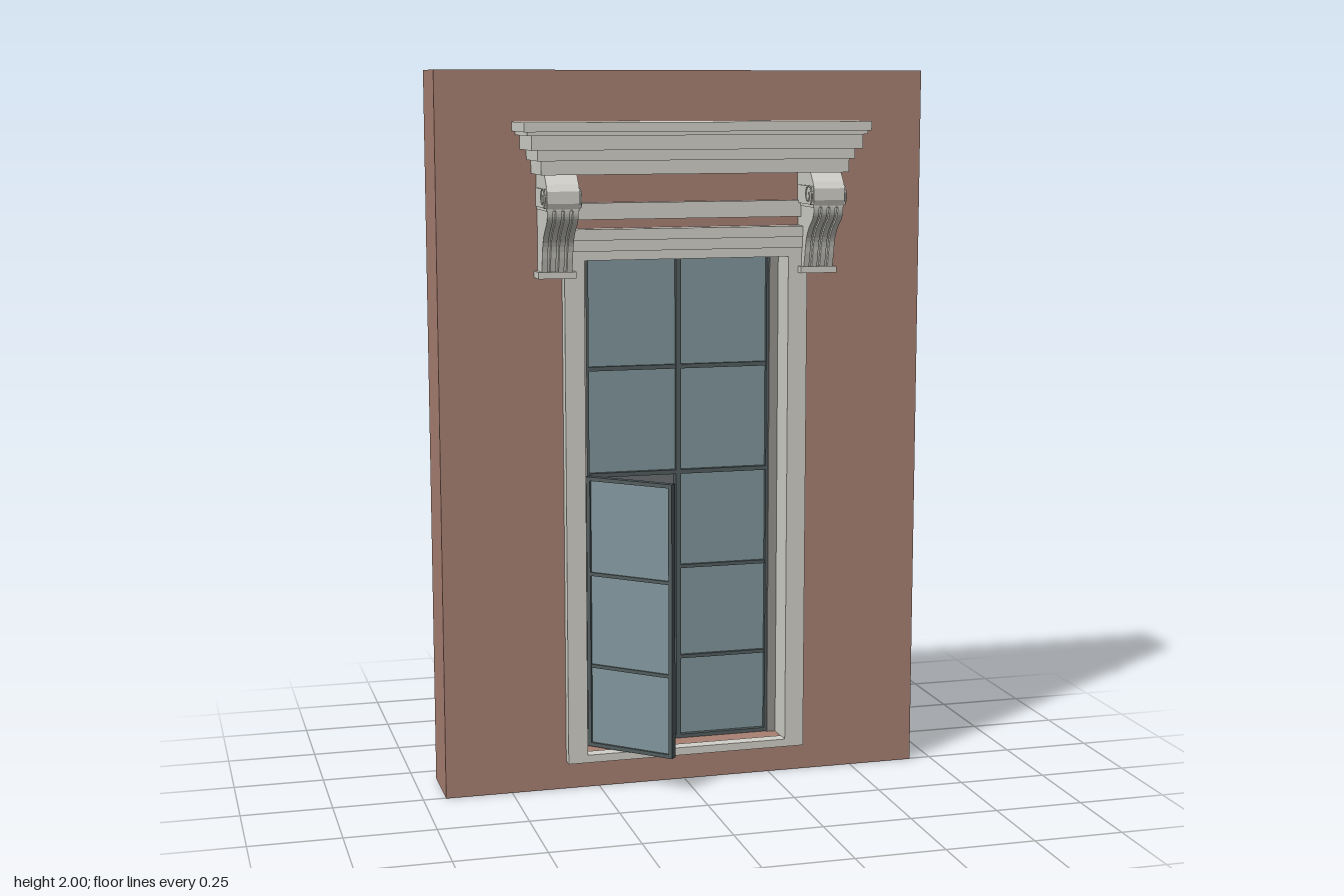
import * as THREE from 'three';

const mat = (name, color) => {
  const m = new THREE.MeshStandardMaterial({ color });
  m.name = name;
  return m;
};

export function createModel() {
  const brick = mat('terracotta wall', 0xa88072);
  const stone = mat('pale stone', 0xd2d1ca);
  const casingGrey = mat('casing grey', 0x96948f);
  const frameDark = mat('dark frame', 0x525c5e);
  const glass = mat('blue grey glass', 0x80969c);
  const backing = mat('interior grey', 0x6a7070);

  const model = new THREE.Group();
  model.name = 'windowWall';

  const add = (parent, name, geometry, material) => {
    const mesh = new THREE.Mesh(geometry, material);
    mesh.name = name;
    parent.add(mesh);
    return mesh;
  };
  // Box given by its extents
  const box = (parent, name, material, x0, x1, y0, y1, z0, z1) => {
    const m = add(parent, name, new THREE.BoxGeometry(x1 - x0, y1 - y0, z1 - z0), material);
    m.position.set((x0 + x1) / 2, (y0 + y1) / 2, (z0 + z1) / 2);
    return m;
  };
  const rect = (C, x0, x1, y0, y1) => {
    const s = new C();
    s.moveTo(x0, y0).lineTo(x1, y0).lineTo(x1, y1).lineTo(x0, y1).closePath();
    return s;
  };
  // Rectangular ring: outer [x0,x1,y0,y1], inner the same, between z0 and z1
  const ring = (parent, name, material, outer, inner, z0, z1) => {
    const s = rect(THREE.Shape, ...outer);
    s.holes.push(rect(THREE.Path, ...inner));
    const g = new THREE.ExtrudeGeometry(s, { depth: z1 - z0, bevelEnabled: false });
    return add(parent, name, g.translate(0, 0, z0), material);
  };

  // Wall with its opening
  ring(model, 'wall', brick, [-0.687, 0.687, 0, 2], [-0.3, 0.3, 0.1, 1.5], -0.177, 0.004);

  // Stone surround, side reveals and casing
  ring(model, 'surround', stone, [-0.345, 0.345, 0.08, 1.5], [-0.29, 0.29, 0.102, 1.49], 0, 0.037);
  for (const s of [-1, 1]) {
    const r = box(model, 'reveal', stone, -0.005, 0.005, 0.1, 1.5, -0.055, 0);
    r.position.x = s * 0.295;
    const c = box(model, 'casing', casingGrey, -0.0165, 0.0165, 0.1, 1.5, -0.062, -0.055);
    c.position.x = s * 0.2815;
  }

  // Lintel bands
  box(model, 'lintelLower', stone, -0.335, 0.335, 1.5, 1.515, 0, 0.04);
  box(model, 'lintelMiddle', stone, -0.335, 0.335, 1.515, 1.545, 0, 0.045);
  box(model, 'lintelUpper', stone, -0.335, 0.335, 1.545, 1.575, 0, 0.05);
  box(model, 'friezeMoulding', stone, -0.335, 0.335, 1.6, 1.645, 0, 0.03);

  // Stepped cornice: bottom, top, half width, depth
  for (const [y0, y1, w, d] of [
    [1.725, 1.762, 0.428, 0.142], [1.762, 1.79, 0.44, 0.155],
    [1.79, 1.828, 0.458, 0.167], [1.828, 1.838, 0.47, 0.172], [1.838, 1.863, 0.479, 0.177],
  ]) box(model, 'corniceStep', stone, -w, w, y0, y1, 0, d);

  // Scrolled brackets, profile drawn in depth and height
  const profile = (inset) => {
    const s = new THREE.Shape();
    s.moveTo(0, 1.46).lineTo(0.058 - inset, 1.46).lineTo(0.068 - inset, 1.5);
    s.bezierCurveTo(0.076 - inset, 1.55, 0.09 - inset, 1.565, 0.115 - inset, 1.585);
    s.bezierCurveTo(0.138 - inset, 1.6, 0.143 - inset, 1.615, 0.143 - inset, 1.64);
    s.lineTo(0, 1.64).closePath();
    return s;
  };
  const across = (shape, width) => new THREE.ExtrudeGeometry(shape, { depth: width, bevelEnabled: false, curveSegments: 8 })
    .translate(0, 0, -width / 2).rotateY(-Math.PI / 2);
  const head = new THREE.Shape();
  head.moveTo(0, 1.63).lineTo(0.141, 1.63).lineTo(0.148, 1.65).lineTo(0.148, 1.682)
    .lineTo(0.137, 1.7).lineTo(0.115, 1.725).lineTo(0, 1.725).closePath();
  const spiral = new THREE.CatmullRomCurve3(Array.from({ length: 15 }, (_, i) => {
    const a = i * 0.6 - 0.9, r = 0.032 * (1 - i / 18);
    return new THREE.Vector3(0, 1.663 + r * Math.sin(a), 0.115 + r * Math.cos(a));
  }));
  for (const s of [-1, 1]) {
    const bracket = new THREE.Group();
    bracket.name = 'bracket';
    bracket.position.x = s * 0.37;
    add(bracket, 'bracketCore', across(profile(0.01), 0.078), stone);
    for (let i = 0; i < 4; i++) {
      add(bracket, 'bracketRib', across(profile(0), 0.015), stone).position.x = -0.0345 + i * 0.023;
    }
    add(bracket, 'bracketHead', across(head, 0.088), stone);
    box(bracket, 'bracketBand', stone, -0.049, 0.049, 1.638, 1.688, 0.02, 0.142);
    box(bracket, 'bracketFoot', stone, -0.052, 0.052, 1.445, 1.463, 0, 0.064);
    for (const t of [-1, 1]) {
      add(bracket, 'volute', new THREE.TubeGeometry(spiral, 48, 0.0025, 5), stone).position.x = t * 0.049;
    }
    model.add(bracket);
  }

  // Interior backing
  box(model, 'backing', backing, -0.27, 0.27, 0.1, 1.5, -0.095, -0.089);

  // Fixed window frame and glazing bars
  ring(model, 'windowFrame', frameDark, [-0.268, 0.268, 0.1, 1.5], [-0.258, 0.258, 0.111, 1.483], -0.088, -0.06);
  box(model, 'mullion', frameDark, -0.007, 0.007, 0.1, 1.49, -0.088, -0.06);
  box(model, 'transom', frameDark, -0.265, 0.265, 0.874, 0.886, -0.088, -0.06);
  box(model, 'upperBar', frameDark, -0.265, 0.265, 1.174, 1.186, -0.088, -0.064);
  for (const y of [0.34, 0.605]) box(model, 'lowerBar', frameDark, 0, 0.265, y - 0.005, y + 0.005, -0.088, -0.064);
  box(model, 'upperGlass', glass, -0.26, 0.26, 0.88, 1.485, -0.08, -0.074);
  box(model, 'lowerGlass', glass, 0, 0.26, 0.11, 0.88, -0.08, -0.074);

  // Open casement, swung out on its left edge
  const sash = new THREE.Group();
  sash.name = 'openCasement';
  sash.position.set(-0.265, 0, -0.048);
  sash.rotation.y = -0.75;
  ring(sash, 'casementFrame', frameDark, [0, 0.27, 0.105, 0.882], [0.011, 0.259, 0.116, 0.871], -0.01, 0.01);
  box(sash, 'casementGlass', glass, 0.008, 0.262, 0.112, 0.876, -0.003, 0.003);
  for (const y of [0.34, 0.605]) box(sash, 'casementBar', frameDark, 0.01, 0.26, y - 0.005, y + 0.005, -0.008, 0.008);
  model.add(sash);

  return model;
}
